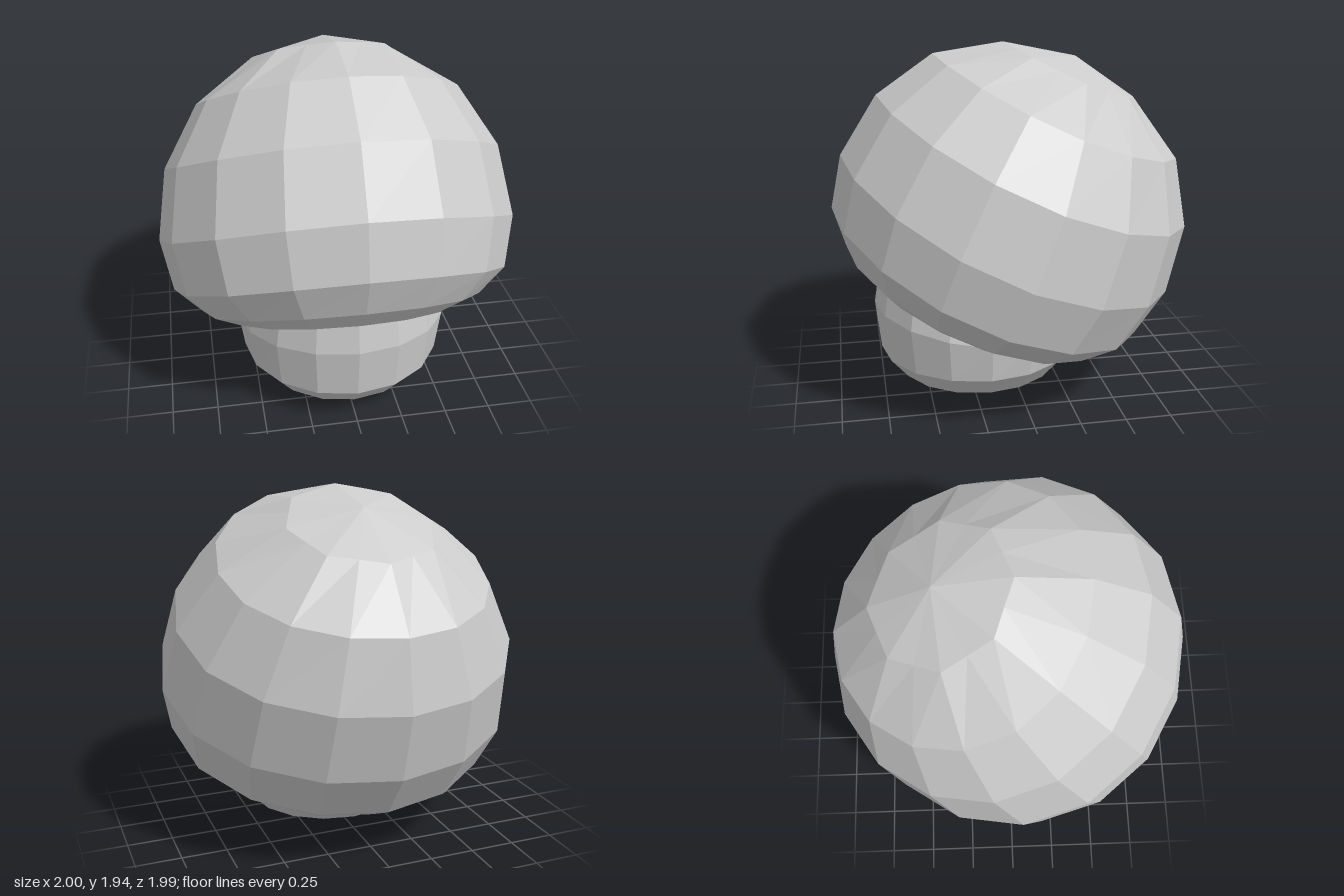
import * as THREE from 'three';

const SEGS = 16;

// Lofts a closed body from rings listed bottom to top.
// r: radius, y: height, sag: drop at the two sides, tilt: rise towards the front, octagon: eight-sided ring
function loft(rings) {
  const positions = [];
  const index = [];
  for (const { r, y, sag = 0, tilt = 0, octagon = false } of rings) {
    for (let j = 0; j < SEGS; j++) {
      const a = (j / SEGS) * Math.PI * 2;
      const rr = octagon && j % 2 ? r * Math.cos(Math.PI / 8) : r;
      const z = rr * Math.cos(a);
      positions.push(rr * Math.sin(a), y + tilt * z - sag * Math.sin(a) ** 2, z);
    }
  }
  for (let i = 0; i < rings.length - 1; i++) {
    for (let j = 0; j < SEGS; j++) {
      const k = (j + 1) % SEGS;
      const a = i * SEGS + j, b = i * SEGS + k;
      const c = b + SEGS, d = a + SEGS;
      if (rings[i].r > 0) index.push(a, b, c);
      if (rings[i + 1].r > 0) index.push(a, c, d);
      // a pole at the top still needs one triangle per segment, which a, b, c covers
    }
  }
  const indexed = new THREE.BufferGeometry();
  indexed.setAttribute('position', new THREE.Float32BufferAttribute(positions, 3));
  indexed.setIndex(index);
  const geometry = indexed.toNonIndexed();
  geometry.computeVertexNormals();
  return geometry;
}

export function createModel() {
  const group = new THREE.Group();
  group.name = 'mushroom';
  const material = new THREE.MeshStandardMaterial({ color: 0xcccccc, flatShading: true });

  // Short rounded stem, its upper rings tilted to meet the cap
  const stem = new THREE.Mesh(loft([
    { r: 0, y: 0.005 },
    { r: 0.34, y: 0.043, octagon: true },
    { r: 0.46, y: 0.08 },
    { r: 0.56, y: 0.2 },
    { r: 0.59, y: 0.405, tilt: 0.135 },
    { r: 0.54, y: 0.6, tilt: 0.35 },
    { r: 0, y: 0.65 },
  ]), material);
  stem.name = 'stem';
  stem.position.z = 0.195;
  group.add(stem);

  // Big domed cap leaning backwards, with a hollowed underside
  const cap = new THREE.Mesh(loft([
    { r: 0, y: 0.5 },
    { r: 0.4, y: 0.45 },
    { r: 0.56, y: 0.36, sag: 0.01 },
    { r: 0.64, y: 0.31, sag: 0.02 },
    { r: 0.79, y: 0.397, sag: 0.05 },
    { r: 0.94, y: 0.575, sag: 0.09 },
    { r: 1.0, y: 0.869, sag: 0.1 },
    { r: 0.94, y: 1.247, sag: 0.085 },
    { r: 0.74, y: 1.567, sag: 0.06 },
    { r: 0.408, y: 1.771, sag: 0.02, octagon: true },
    { r: 0, y: 1.854 },
  ]), material);
  cap.name = 'cap';
  cap.rotation.x = -0.407;
  cap.position.set(0, 0.156, 0.363);
  group.add(cap);

  return group;
}
